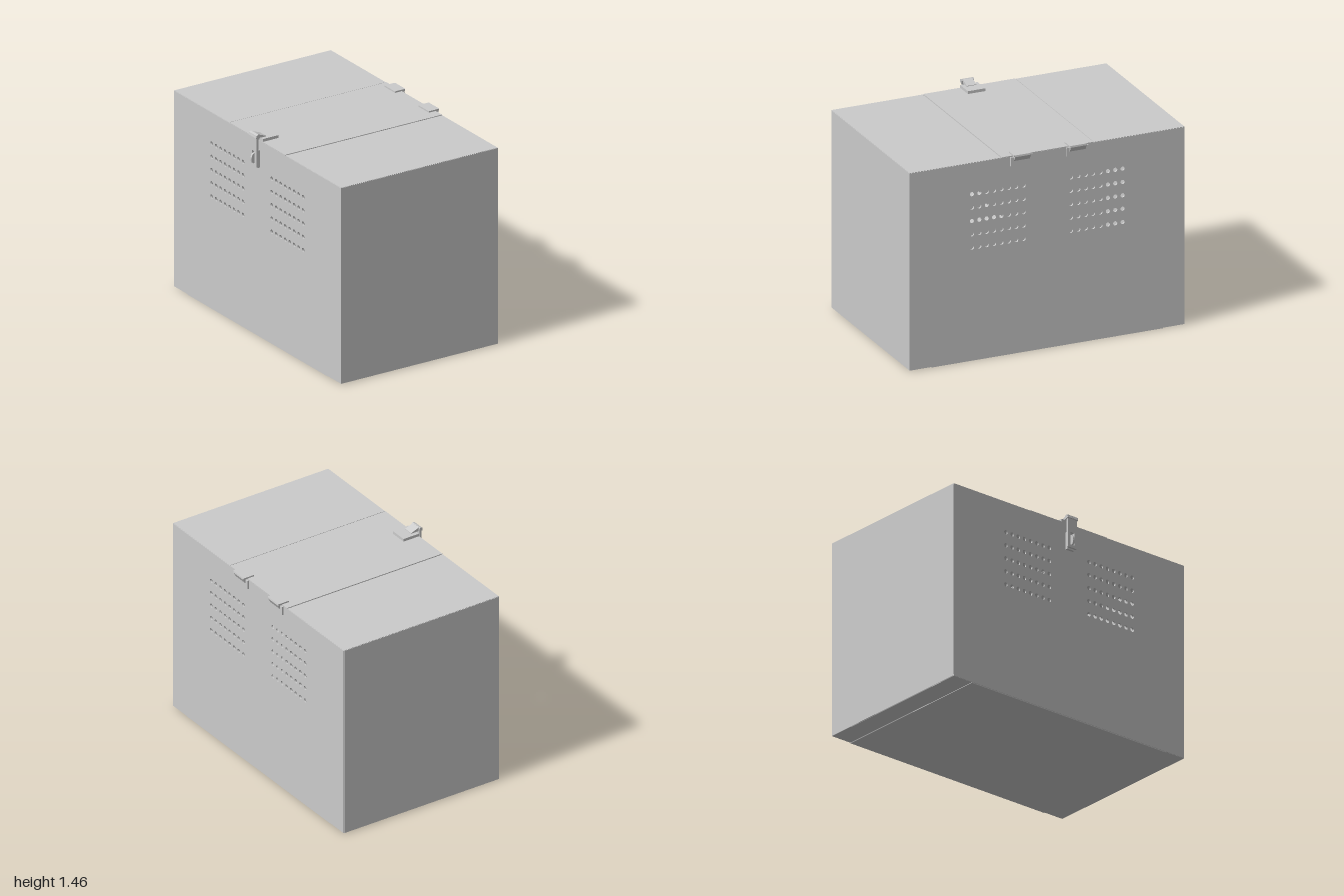
import * as THREE from 'three';

const material = new THREE.MeshStandardMaterial({ color: 0xcccccc, flatShading: true });

// Box given by its minimum and maximum corners
function box(parent, name, [x0, y0, z0], [x1, y1, z1]) {
  const mesh = new THREE.Mesh(new THREE.BoxGeometry(x1 - x0, y1 - y0, z1 - z0), material);
  mesh.position.set((x0 + x1) / 2, (y0 + y1) / 2, (z0 + z1) / 2);
  mesh.name = name;
  parent.add(mesh);
  return mesh;
}

// Profile in the x-y plane, extruded along z and centred on zc
function profile(parent, name, points, width, zc) {
  const shape = new THREE.Shape(points.map(([x, y]) => new THREE.Vector2(x, y)));
  const geo = new THREE.ExtrudeGeometry(shape, { depth: width, bevelEnabled: false });
  const mesh = new THREE.Mesh(geo, material);
  mesh.position.z = zc - width / 2;
  mesh.name = name;
  parent.add(mesh);
  return mesh;
}

const X0 = -0.615, X1 = 0.63, Y0 = 0.006, Y1 = 1.408, T = 0.012;

// Long side wall with two fields of ventilation holes
function sideWall(name, x) {
  const shape = new THREE.Shape();
  shape.moveTo(-0.996, Y0).lineTo(0.996, Y0).lineTo(0.996, Y1 - 0.002).lineTo(-0.996, Y1 - 0.002).closePath();
  for (const side of [-1, 1])
    for (let col = 0; col < 8; col++)
      for (let row = 0; row < 5; row++) {
        const hole = new THREE.Path();
        hole.absarc(side * (0.172 + col * 0.0536), 0.805 + row * 0.095, 0.015, 0, Math.PI * 2, true);
        shape.holes.push(hole);
      }
  const geo = new THREE.ExtrudeGeometry(shape, { depth: T, bevelEnabled: false, curveSegments: 14 });
  geo.rotateY(Math.PI / 2);
  const mesh = new THREE.Mesh(geo, material);
  mesh.position.x = x;
  mesh.name = name;
  return mesh;
}

// Hinge: top leaf, angled knuckle and side leaf
function hinge(zc) {
  const g = new THREE.Group();
  g.name = 'hinge';
  box(g, 'hingeTopLeaf', [0.575, Y1, -0.063], [0.655, 1.42, 0.063]);
  profile(g, 'hingeKnuckle', [[0.632, 1.398], [0.642, 1.375], [0.66, 1.408], [0.658, 1.42], [0.632, 1.42]], 0.115, 0);
  box(g, 'hingeSideLeaf', [X1, 1.34, -0.08], [0.642, 1.402, 0.08]);
  g.position.z = zc;
  return g;
}

// Latch: top plate, sloped tongue, slotted hasp and staple knob
function latch() {
  const g = new THREE.Group();
  g.name = 'latch';
  box(g, 'latchTopPlate', [-0.613, Y1, -0.063], [-0.49, 1.43, 0.063]);
  profile(g, 'latchTongue',
    [[-0.655, 1.44], [-0.64, 1.432], [-0.57, 1.428], [-0.57, 1.434], [-0.632, 1.458], [-0.652, 1.452]], 0.07, 0);
  profile(g, 'latchRoll', [[-0.655, 1.435], [-0.63, 1.425], [-0.628, 1.448], [-0.636, 1.459], [-0.652, 1.454]], 0.09, 0);

  // Hanging hasp strip with a slot
  const strip = new THREE.Shape();
  strip.moveTo(-0.038, 1.225).lineTo(0.038, 1.225).lineTo(0.038, 1.44).lineTo(-0.038, 1.44).closePath();
  const slot = new THREE.Path();
  slot.moveTo(-0.016, 1.245).lineTo(-0.016, 1.335).lineTo(0.016, 1.335).lineTo(0.016, 1.245).closePath();
  strip.holes.push(slot);
  const geo = new THREE.ExtrudeGeometry(strip, { depth: 0.016, bevelEnabled: false });
  geo.rotateY(Math.PI / 2);
  const hasp = new THREE.Mesh(geo, material);
  hasp.position.x = -0.649;
  hasp.name = 'latchHasp';
  g.add(hasp);

  box(g, 'latchWallPlate', [-0.633, 1.215, -0.03], [X0, 1.34, 0.03]);

  // Half-round staple
  const arch = [];
  for (let i = 0; i <= 10; i++) {
    const a = Math.PI / 2 + (Math.PI * i) / 10;
    arch.push([-0.64 + 0.026 * Math.cos(a), 1.28 + 0.038 * Math.sin(a)]);
  }
  profile(g, 'latchStaple', [...arch, [-0.63, 1.242], [-0.63, 1.318]], 0.014, 0);
  return g;
}

export function createModel() {
  const model = new THREE.Group();
  model.name = 'ventedBox';

  // Case
  model.add(sideWall('leftWall', X1 - T), sideWall('rightWall', X0));
  box(model, 'frontWall', [X0 + 0.004, Y0, 1 - T], [X1 - 0.004, Y1 - 0.002, 1]);
  box(model, 'backWall', [X0 + 0.004, Y0, -1], [X1 - 0.004, Y1 - 0.002, -1 + T]);
  box(model, 'floor', [X0 + 0.003, 0.004, -0.997], [X1 - 0.003, 0.016, 0.997]);
  box(model, 'basePan', [X0 + 0.003, 0, -0.84], [X1 - 0.003, 0.004, 0.84]);

  // Fixed top panels and the hinged lid between them
  box(model, 'frontTop', [X0 + 0.003, Y1 - T, 0.335], [X1 - 0.003, Y1, 0.997]);
  box(model, 'backTop', [X0 + 0.003, Y1 - T, -0.997], [X1 - 0.003, Y1, -0.341]);
  box(model, 'lid', [X0 + 0.001, Y1 - T, -0.335], [X1 - 0.001, Y1 + 0.002, 0.329]);

  // Equipment inside, glimpsed through the vents
  box(model, 'innerUnit', [-0.3, 0.016, 0.16], [0.3, 0.83, 0.6]);
  box(model, 'innerUnitCap', [-0.1, 0.83, 0.21], [0.1, 0.92, 0.39]);

  // Hardware
  model.add(hinge(0.19), hinge(-0.215), latch());
  return model;
}
